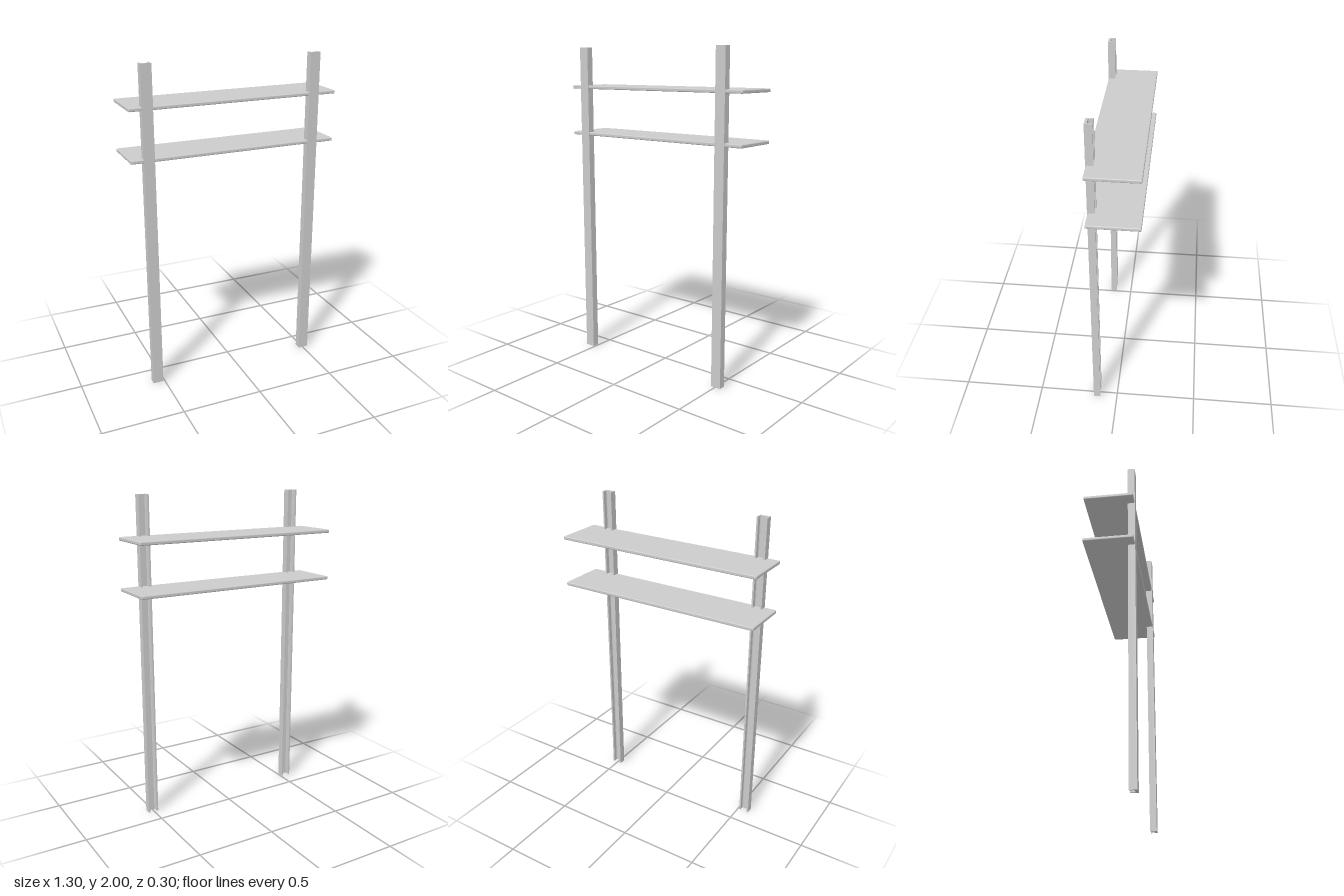
import * as THREE from 'three';
import { RoundedBoxGeometry } from 'three/addons/geometries/RoundedBoxGeometry.js';

const material = new THREE.MeshStandardMaterial({ color: 0xcccccc });

// U-shaped channel, open towards the back, extruded upwards
function channelGeometry(width, front, back, height) {
  const w = width / 2;
  const wall = 0.01, web = 0.014, chamfer = 0.004;
  const floor = front - web;
  // Outline in (x, -z) so that the extrusion turns upright with +y up
  const outline = [
    [-w, front], [w, front], [w, back], [w - wall, back],
    [w - wall, floor - chamfer], [w - wall - chamfer, floor],
    [-w + wall + chamfer, floor], [-w + wall, floor - chamfer],
    [-w + wall, back], [-w, back],
  ];
  const shape = new THREE.Shape(outline.map(([x, z]) => new THREE.Vector2(x, -z)));
  const geometry = new THREE.ExtrudeGeometry(shape, { depth: height, bevelEnabled: false });
  return geometry.rotateX(-Math.PI / 2);
}

export function createModel() {
  const group = new THREE.Group();
  group.name = 'wallShelf';

  // Two full-height uprights
  const channel = channelGeometry(0.065, 0.15, 0.107, 2);
  for (const [name, x] of [['rightUpright', -0.542], ['leftUpright', 0.504]]) {
    const upright = new THREE.Mesh(channel, material);
    upright.name = name;
    upright.position.x = x;
    group.add(upright);
  }

  // Two thin boards with softened edges, just behind the upright fronts
  const board = new RoundedBoxGeometry(1.3, 0.021, 0.298, 2, 0.006);
  for (const [name, y] of [['lowerShelf', 1.457], ['upperShelf', 1.753]]) {
    const shelf = new THREE.Mesh(board, material);
    shelf.name = name;
    shelf.position.set(0, y, -0.001);
    group.add(shelf);
  }

  return group;
}
